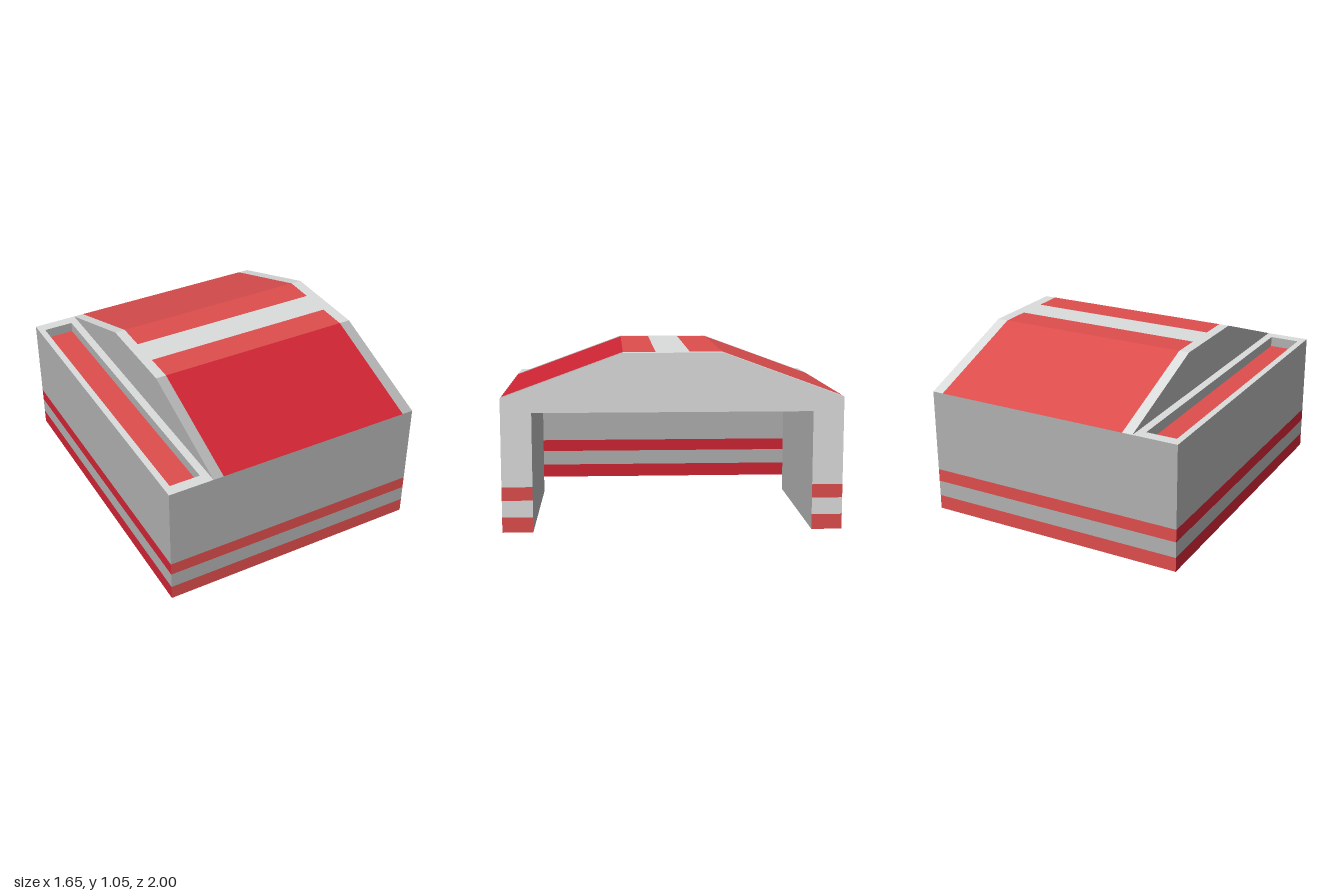
import * as THREE from 'three';

const W = 0.825, L = 1, EAVE = 0.79, RIDGE = 1.05, FLAT = 0.29; // shell half sizes and heights
const DOOR = 0.82, DOOR_TOP = 0.705, DOOR_END = -0.315;          // drive-through opening
const GABLE = -0.545;                                            // inner end of the raised roof

function material(name, color) {
  const m = new THREE.MeshStandardMaterial({ color, side: THREE.DoubleSide });
  m.name = name;
  return m;
}

// Flat convex panel from its corners, counter-clockwise seen from outside
function panel(group, name, mat, corners) {
  const pos = [];
  for (let i = 1; i < corners.length - 1; i++) pos.push(...corners[0], ...corners[i], ...corners[i + 1]);
  const geo = new THREE.BufferGeometry();
  geo.setAttribute('position', new THREE.Float32BufferAttribute(pos, 3));
  geo.computeVertexNormals();
  const mesh = new THREE.Mesh(geo, mat);
  mesh.name = name;
  group.add(mesh);
}

export function createModel() {
  const group = new THREE.Group();
  group.name = 'shelter';
  const lightGrey = material('light grey', 0xdadcdb);
  const midGrey = material('mid grey', 0xaeaeae);
  const lightRed = material('light red', 0xdd4d4d);
  const darkRed = material('dark red', 0xcc2432);

  // Vertical wall from plan point a to b, with two red stripes near the ground
  function stripedWall(name, a, b, top, grey, red) {
    const levels = [0, 0.09, 0.19, 0.27, top];
    for (let i = 0; i < 4; i++) {
      const [y0, y1] = [levels[i], levels[i + 1]];
      panel(group, name + (i % 2 ? 'Wall' : 'Stripe'), i % 2 ? grey : red,
        [[a[0], y0, a[1]], [b[0], y0, b[1]], [b[0], y1, b[1]], [a[0], y1, a[1]]]);
    }
  }
  stripedWall('front', [-W, L], [W, L], EAVE, midGrey, lightRed);
  stripedWall('back', [W, -L], [-W, -L], EAVE, midGrey, lightRed);
  stripedWall('right', [-W, -L], [-W, L], EAVE, midGrey, darkRed);
  stripedWall('doorLeg', [W, L], [W, DOOR], DOOR_TOP, lightGrey, lightRed);
  stripedWall('doorLeg', [W, -DOOR], [W, -L], DOOR_TOP, lightGrey, lightRed);

  // Gable over the opening, and the gable closing the roof's inner end
  panel(group, 'doorGable', lightGrey, [[W, DOOR_TOP, L], [W, DOOR_TOP, -L], [W, EAVE, -L],
    [W, RIDGE, -FLAT], [W, RIDGE, FLAT], [W, EAVE, L]]);
  panel(group, 'innerGable', midGrey, [[GABLE, EAVE, -L], [GABLE, EAVE, L],
    [GABLE, RIDGE, FLAT], [GABLE, RIDGE, -FLAT]]);

  // Lining of the opening: two side walls and a ceiling
  panel(group, 'liningWall', midGrey, [[W, 0, DOOR], [DOOR_END, 0, DOOR],
    [DOOR_END, DOOR_TOP, DOOR], [W, DOOR_TOP, DOOR]]);
  panel(group, 'liningWall', midGrey, [[DOOR_END, 0, -DOOR], [W, 0, -DOOR],
    [W, DOOR_TOP, -DOOR], [DOOR_END, DOOR_TOP, -DOOR]]);
  panel(group, 'liningCeiling', midGrey, [[DOOR_END, DOOR_TOP, -DOOR], [W, DOOR_TOP, -DOOR],
    [W, DOOR_TOP, DOOR], [DOOR_END, DOOR_TOP, DOOR]]);

  // Roof strips along z, each cut in x into grey edge, red field, grey edge
  const P0 = -0.48, P1 = 0.755, GAP = 0.1;
  const roofStrips = [
    [-L, EAVE, -FLAT, RIDGE, lightGrey, lightRed],
    [-FLAT, RIDGE, -GAP, RIDGE, lightGrey, lightRed],
    [-GAP, RIDGE, GAP, RIDGE, lightGrey, lightGrey],
    [GAP, RIDGE, FLAT, RIDGE, lightGrey, lightRed],
    [FLAT, RIDGE, L, EAVE, midGrey, darkRed],
  ];
  for (const [z0, y0, z1, y1, grey, field] of roofStrips) {
    for (const [x0, x1, mat, name] of [[GABLE, P0, grey, 'roofEdge'],
      [P0, P1, field, 'roofField'], [P1, W, grey, 'roofEdge']]) {
      panel(group, name, mat, [[x0, y0, z0], [x0, y1, z1], [x1, y1, z1], [x1, y0, z0]]);
    }
  }

  // Low side roof: a rim around a shallow tray with a red floor
  const X0 = -0.785, X1 = -0.595, Z = 0.93, FLOOR = 0.725;
  const flat = (name, mat, x0, x1, z0, z1, y) =>
    panel(group, name, mat, [[x0, y, z0], [x0, y, z1], [x1, y, z1], [x1, y, z0]]);
  flat('rim', lightGrey, -W, X0, -L, L, EAVE);
  flat('rim', lightGrey, X1, GABLE, -L, L, EAVE);
  flat('rim', lightGrey, X0, X1, -L, -Z, EAVE);
  flat('rim', lightGrey, X0, X1, Z, L, EAVE);
  flat('trayFloor', lightRed, X0, X1, -Z, Z, FLOOR);
  const ring = [[X0, -Z], [X0, Z], [X1, Z], [X1, -Z]];
  ring.forEach(([ax, az], i) => {
    const [bx, bz] = ring[(i + 1) % 4];
    panel(group, 'traySide', midGrey, [[bx, FLOOR, bz], [ax, FLOOR, az], [ax, EAVE, az], [bx, EAVE, bz]]);
  });

  return group;
}
